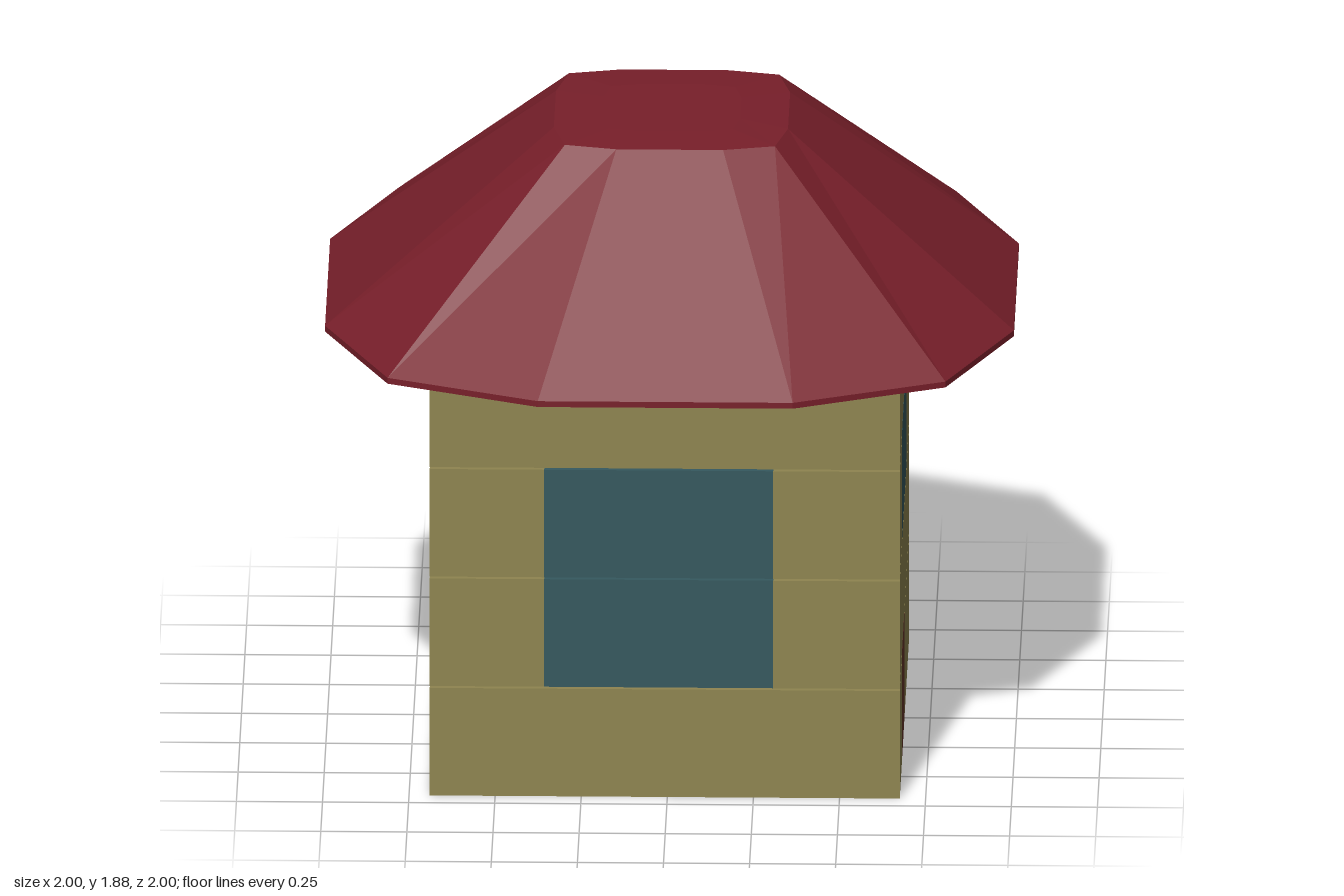
import * as THREE from 'three';

const material = (color, extra = {}) => new THREE.MeshStandardMaterial({ color, ...extra });

// Rounded-square loop of 12 points: half width h, edge point offset m, corner c, height y
function ring(h, m, c, y) {
  const points = [];
  for (let i = 0; i < 4; i++) {
    const cos = Math.round(Math.cos(i * Math.PI / 2));
    const sin = Math.round(Math.sin(i * Math.PI / 2));
    for (const [x, z] of [[m, h], [c, c], [h, m]]) {
      points.push([x * cos + z * sin, y, -x * sin + z * cos]);
    }
  }
  return points;
}

// Joins the loops from bottom to top and closes both ends
function loft(rings) {
  const pos = [];
  const index = [];
  const n = rings[0].length;
  rings.forEach(r => r.forEach(p => pos.push(...p)));
  // the loops run counter-clockwise seen from above
  for (let r = 0; r < rings.length - 1; r++) {
    for (let i = 0; i < n; i++) {
      const a = r * n + i, b = r * n + (i + 1) % n;
      index.push(a, b, b + n, a, b + n, a + n);
    }
  }
  const top = (rings.length - 1) * n;
  for (let i = 1; i < n - 1; i++) {
    index.push(0, i + 1, i, top, top + i, top + i + 1);
  }
  const geometry = new THREE.BufferGeometry();
  geometry.setAttribute('position', new THREE.Float32BufferAttribute(pos, 3));
  geometry.setIndex(index);
  const flat = geometry.toNonIndexed();
  flat.computeVertexNormals();
  return flat;
}

export function createModel() {
  const model = new THREE.Group();
  model.name = 'house';

  const materials = {
    w: material(0x8f8550),
    g: material(0x35595f),
    d: material(0x653429),
  };
  const names = { w: 'wallPanel', g: 'windowPanel', d: 'doorPanel' };

  // Panel layout of each wall, rows from the ground up, columns left to right from outside
  const largeWindow = ['wwww', 'wggw', 'wggw', 'wwww'];
  const walls = [
    ['frontWall', largeWindow],
    ['doorWall', ['wdww', 'wwww', 'wggw', 'wwww']],
    ['backWall', largeWindow],
    ['sideWall', largeWindow],
  ];
  const width = 0.3325, height = 0.332, depth = 0.035, rowPitch = 0.338;
  const half = 0.6825;
  const panel = new THREE.BoxGeometry(width, height, depth);

  // Four walls overlap in turn at the corners
  const body = new THREE.Group();
  body.name = 'walls';
  body.position.set(-0.0075, 0, 0.005);
  walls.forEach(([name, rows], side) => {
    const wall = new THREE.Group();
    wall.name = name;
    wall.rotation.y = side * Math.PI / 2;
    rows.forEach((row, r) => [...row].forEach((kind, c) => {
      const mesh = new THREE.Mesh(panel, materials[kind]);
      mesh.name = names[kind];
      mesh.position.set(-half + width * (c + 0.5), rowPitch * r + height / 2, half - depth / 2);
      wall.add(mesh);
    }));
    body.add(wall);
  });
  model.add(body);

  // Roof with a thin rim, a shallow underside and a slightly domed top
  const roof = new THREE.Mesh(loft([
    ring(0.8, 0.3, 0.66, 1.3),
    ring(1, 0.37, 0.81, 1.315),
    ring(1, 0.37, 0.81, 1.333),
    ring(0.34, 0.155, 0.305, 1.873),
    ring(0.2, 0.09, 0.18, 1.88),
  ]), material(0x781f2a, { flatShading: true }));
  roof.name = 'roof';
  model.add(roof);

  return model;
}
